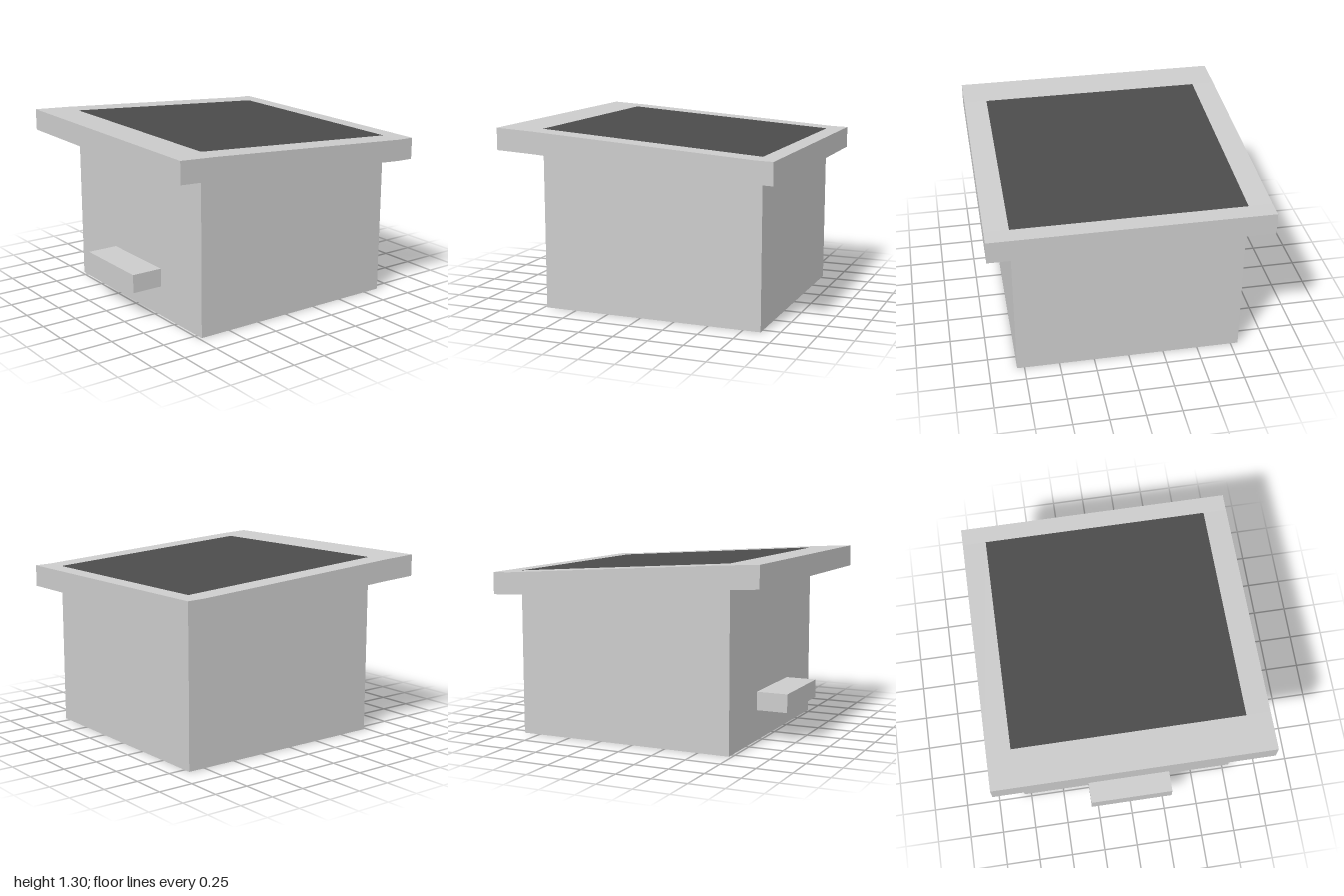
import * as THREE from 'three';

// Stations across the width and along the depth, with the roof height at each depth
const XS = [-0.97, -0.803, 0.803, 0.97];
const ZS = [-1, -0.876, 0.729, 1];
const ROOF_Y = [1.177, 1.18, 1.288, 1.302];
const THICK = 0.156;

const grey = new THREE.MeshStandardMaterial({ color: 0xcccccc, flatShading: true });
const dark = new THREE.MeshStandardMaterial({ color: 0x4b4b4b, flatShading: true });

// Move every vertex by a rule, skip the given index ranges, and keep facets flat
function shape(geometry, rule, skip = []) {
  const p = geometry.attributes.position;
  for (let i = 0; i < p.count; i++) p.setXYZ(i, ...rule(p.getX(i), p.getY(i), p.getZ(i)));
  const kept = Array.from(geometry.index.array).filter((_, i) => !skip.some(([a, b]) => i >= a && i < b));
  geometry.setIndex(kept);
  geometry.clearGroups();
  const flat = geometry.toNonIndexed();
  flat.computeVertexNormals();
  return flat;
}

export function createModel() {
  const model = new THREE.Group();
  model.name = 'boxWithSlopingRoof';
  const add = (name, geometry, material = grey) => {
    const mesh = new THREE.Mesh(geometry, material);
    mesh.name = name;
    model.add(mesh);
    return mesh;
  };

  // Body: box whose walls rise to the sloping underside of the roof, open under it
  add('body', shape(new THREE.BoxGeometry(1, 1, 1), (x, y, z) => {
    const k = z > 0 ? 2 : 1;
    return [x > 0 ? XS[2] : XS[1], y > 0 ? ROOF_Y[k] - THICK : 0, ZS[k]];
  }, [[12, 18]]));

  // Roof rim: 3 x 3 slab bent along the depth, without its middle cells
  add('roofRim', shape(new THREE.BoxGeometry(3, 1, 3, 3, 1, 3), (x, y, z) => {
    const k = Math.round(z + 1.5);
    return [XS[Math.round(x + 1.5)], ROOF_Y[k] - (y > 0 ? 0 : THICK), ZS[k]];
  }, [[60, 66], [114, 120]]));

  // Dark panel filling the middle of the roof
  const panel = new THREE.PlaneGeometry(1, 1).rotateX(-Math.PI / 2);
  add('roofPanel', shape(panel, (x, y, z) => {
    const k = z > 0 ? 2 : 1;
    return [x > 0 ? XS[2] : XS[1], ROOF_Y[k], ZS[k]];
  }), dark);

  // Ledge low on the front wall
  add('frontLedge', new THREE.BoxGeometry(0.61, 0.132, 0.226)).position.set(0, 0.284, 0.842);

  return model;
}
